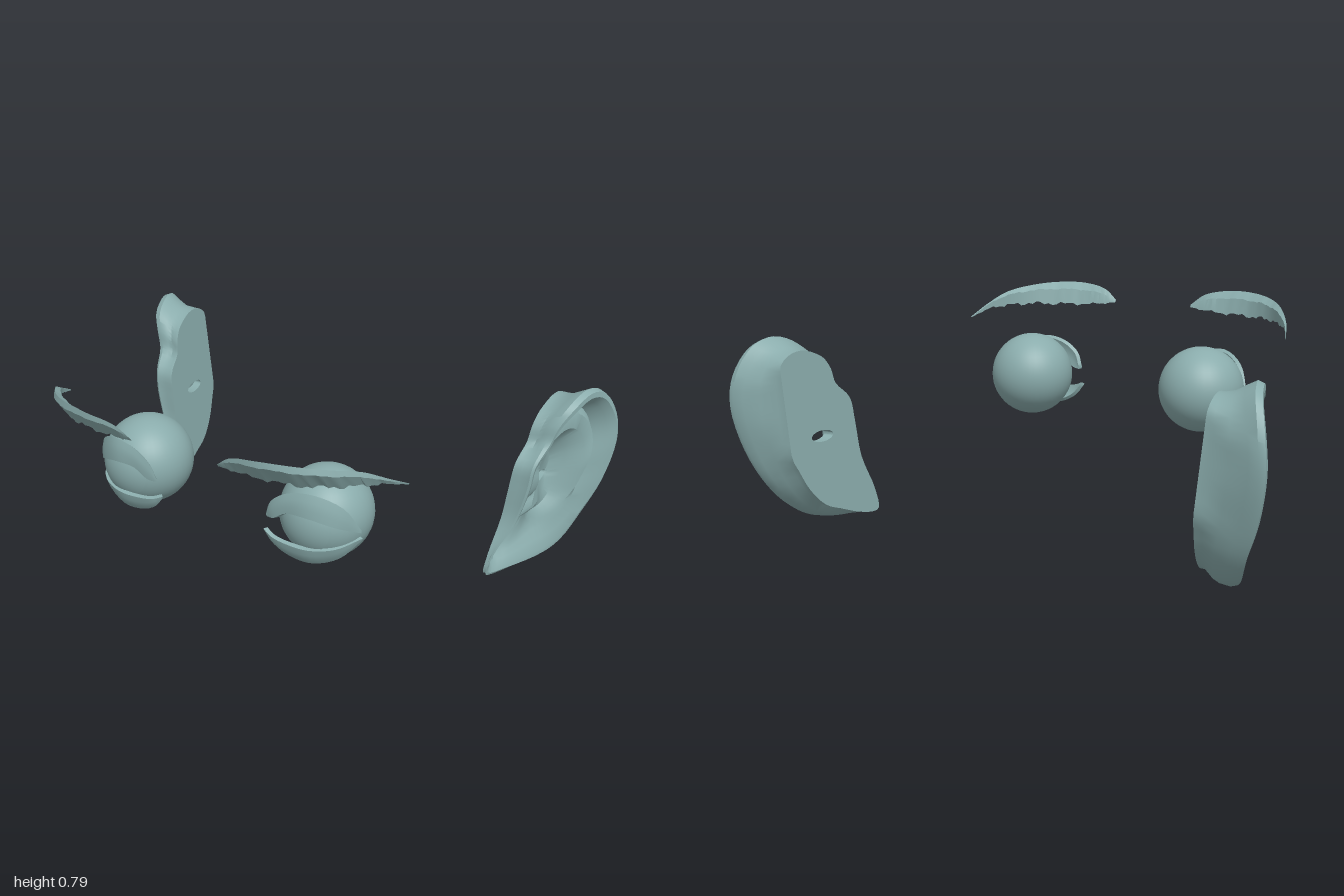
import * as THREE from 'three';
import { toCreasedNormals } from 'three/addons/utils/BufferGeometryUtils.js';

const V = (x, y, z) => new THREE.Vector3(x, y, z);
const curve = (pts, closed = false) => new THREE.CatmullRomCurve3(pts.map((p) => V(...p)), closed);
const smooth = THREE.MathUtils.smoothstep;
const mix = THREE.MathUtils.lerp;

// Skin closed loops of points; joinEnds links the last loop back to the first.
// side = -1 gives the mirrored copy. Faces are always turned outward.
function loft(rings, side, { joinEnds = false, crease = 0.7 } = {}) {
  const n = rings[0].length, m = rings.length;
  const pts = rings.flat().map((p) => V(p.x * side, p.y, p.z));
  let index = [];
  for (let i = 0; i < (joinEnds ? m : m - 1); i++) {
    for (let j = 0; j < n; j++) {
      const a = i * n + j, b = i * n + (j + 1) % n;
      const c = ((i + 1) % m) * n + j, d = ((i + 1) % m) * n + (j + 1) % n;
      index.push(a, b, d, a, d, c);
    }
  }
  let volume = 0;
  for (let i = 0; i < index.length; i += 3) {
    volume += pts[index[i]].dot(V(0, 0, 0).crossVectors(pts[index[i + 1]], pts[index[i + 2]]));
  }
  if (volume < 0) index = index.reverse();
  const geometry = new THREE.BufferGeometry().setFromPoints(pts);
  geometry.setIndex(index);
  return toCreasedNormals(geometry, crease);
}

// Close both ends of a row of loops by shrinking them to a point.
function capped(rings) {
  const shrink = (ring) => {
    const c = ring.reduce((s, p) => s.add(p), V(0, 0, 0)).divideScalar(ring.length);
    return ring.map(() => c.clone());
  };
  return [shrink(rings[0]), ...rings, shrink(rings[rings.length - 1])];
}

const EYE = V(0.36, 0.46, 0.325);

// Eyelid: curved shell between two edges, given relative to the eye centre
function lidRings(upper, lower) {
  const u = curve(upper), l = curve(lower), rings = [];
  for (let i = 0; i <= 20; i++) {
    const a = u.getPoint(i / 20), b = l.getPoint(i / 20);
    const row = [0, 0.33, 0.67, 1].map((t) => {
      const p = a.clone().lerp(b, t);
      return p.addScaledVector(p.clone().normalize(), 0.006 * Math.sin(Math.PI * t) * Math.sin(Math.PI * i / 20));
    });
    const inner = row.map((p) => p.clone().addScaledVector(p.clone().normalize(), -0.014)).reverse();
    rings.push([...row, ...inner].map((p) => p.add(EYE)));
  }
  return capped(rings);
}

const upperLid = lidRings(
  [[0.157, -0.003, 0.055], [0.115, 0.085, 0.1], [0.03, 0.13, 0.146], [-0.06, 0.115, 0.155], [-0.12, 0.07, 0.155], [-0.142, 0.015, 0.148]],
  [[0.157, -0.014, 0.055], [0.102, 0.022, 0.125], [0.02, 0.05, 0.163], [-0.06, 0.046, 0.163], [-0.11, 0.012, 0.157], [-0.14, 0.006, 0.148]]);
const lowerLid = lidRings(
  [[0.158, -0.038, 0.045], [0.1, -0.06, 0.12], [0.02, -0.072, 0.153], [-0.06, -0.072, 0.156], [-0.12, -0.064, 0.152], [-0.158, -0.05, 0.14]],
  [[0.155, -0.046, 0.045], [0.1, -0.108, 0.09], [0.02, -0.134, 0.125], [-0.06, -0.13, 0.13], [-0.12, -0.1, 0.135], [-0.155, -0.058, 0.138]]);

// Brow: thin leaning band, its top edge forward and its lower edge ragged
function browRings() {
  const top = curve([[0.165, 0.725, 0.665], [0.22, 0.765, 0.676], [0.32, 0.785, 0.684], [0.43, 0.785, 0.656],
    [0.52, 0.773, 0.6], [0.59, 0.75, 0.52], [0.635, 0.71, 0.45], [0.667, 0.66, 0.36]]);
  const low = curve([[0.165, 0.715, 0.658], [0.22, 0.708, 0.65], [0.32, 0.702, 0.637], [0.43, 0.7, 0.612],
    [0.52, 0.7, 0.565], [0.588, 0.695, 0.5], [0.632, 0.685, 0.44], [0.666, 0.656, 0.36]]);
  const rings = [];
  for (let i = 0; i <= 44; i++) {
    const t = i / 44, w = Math.sin(Math.PI * t), a = top.getPoint(t), b = low.getPoint(t);
    b.y += (0.005 * Math.sin(i * 2.3) + 0.005 * Math.sin(i * 0.9)) * w;
    const front = a.clone().lerp(b, 0.25).add(V(0, 0, 0.016 * w));
    const back = a.clone().lerp(b, 0.4).add(V(-0.004 * w, 0.008 * w, -0.014 * w));
    rings.push([a, front, b, back]);
  }
  return capped(rings);
}

// Ear: outline of the rim as x (flare), y, z
const rim = curve([
  [0.705, 0.005, -0.256], [0.72, 0.082, -0.263], [0.775, 0.216, -0.312], [0.81, 0.354, -0.323], [0.82, 0.44, -0.334],
  [0.845, 0.515, -0.397], [0.865, 0.578, -0.412], [0.9, 0.642, -0.453], [0.93, 0.679, -0.547], [0.955, 0.653, -0.629],
  [0.985, 0.56, -0.685], [0.995, 0.448, -0.696], [0.965, 0.28, -0.666], [0.915, 0.149, -0.618], [0.875, 0.06, -0.547],
  [0.835, 0.02, -0.48], [0.75, 0.003, -0.33],
], true);
const plate = (y, z) => 0.686 + 0.113 * y - 0.1 * (z + 0.26); // flat face on the head side
const HOLE = { y: 0.325, z: -0.494 };

// One ray of the ear, running from the hole across the plate, over the rim and down the bowl
function earRay(p) {
  const dy = p.y - HOLE.y, dz = p.z - HOLE.z, len = Math.hypot(dy, dz);
  const hy = HOLE.y + 0.02 * dy / len, hz = HOLE.z + 0.052 * dz / len;
  const at = (s, x) => V(x, HOLE.y + dy * s, HOLE.z + dz * s);
  const flare = smooth(-p.z, 0.3, 0.48);
  const fold = smooth(p.y, 0.08, 0.36) * flare;
  const tragus = (1 - smooth(Math.abs(p.y - 0.36), 0.03, 0.15)) * (1 - flare);
  // plate edge stops short of the rim at the top, back and behind the lobe
  const cut = mix(0.985, mix(0.86, 0.88, smooth(dy, -0.1, 0.1)), flare);
  const ey = HOLE.y + dy * cut;
  const ez = Math.max(HOLE.z + dz * mix(0.985, cut, smooth(-dy, 0, 0.15)), -0.65);
  const px = plate(ey, ez), floor = plate(HOLE.y, HOLE.z) + 0.035;
  const drop = 0.35 + 0.65 * flare;
  const x = (d) => Math.max(p.x - d * drop, px + 0.012);
  const saddle = at(mix(mix(0.985, 0.95, flare), 0.9, fold), mix(px, x(0.05), 0.55));
  saddle.z = Math.max(saddle.z, ez - 0.02);
  // groove lies close under the rim at the top and further in at the back
  const groove = mix(0.65, 0.79, Math.max(smooth(dy, 0.05, 0.28), 1 - flare));
  return [
    V(plate(hy, hz), hy, hz),
    V(px, ey, ez),
    V(mix(px, x(0.05), 0.2), ey, ez),
    saddle,
    at(mix(0.985, 0.95, fold), x(0.06)),
    at(1, x(0.025)),
    at(0.975, x(0.004)),
    at(0.92, x(0.003)),
    at(mix(groove, 0.92, 0.5), x(0.02 + 0.012 * fold)),
    at(groove, x(0.035 + 0.05 * fold)),
    at(groove - 0.08, x(0.045 + 0.025 * fold) + 0.012 * tragus),
    at(mix(groove, 0.4, 0.6), mix(x(0.055), floor + 0.02, 0.25) + 0.02 * tragus),
    at(0.42, mix(x(0.07), floor, 0.6) + 0.015 * tragus),
    at(0.3, floor + 0.008),
    V(floor, hy, hz),
  ];
}
const RAYS = 68;
const rays = Array.from({ length: RAYS }, (_, i) => earRay(rim.getPoint(i / RAYS)));

export function createModel() {
  const model = new THREE.Group();
  model.name = 'faceParts';
  const clay = new THREE.MeshStandardMaterial({ color: 0x8aacac });
  clay.name = 'greyTeal';

  for (const side of [1, -1]) {
    const label = side > 0 ? 'left' : 'right';
    const add = (name, geometry, position) => {
      const mesh = new THREE.Mesh(geometry, clay);
      mesh.name = label + name;
      if (position) mesh.position.copy(position);
      model.add(mesh);
    };
    const eye = V(EYE.x * side, EYE.y, EYE.z);
    add('Eyeball', new THREE.SphereGeometry(0.157, 40, 28), eye);
    // slightly raised round iris on the front of the eyeball
    add('Iris', new THREE.SphereGeometry(0.159, 32, 8, 0, Math.PI * 2, 0, 0.57).rotateX(Math.PI / 2), eye);
    add('UpperEyelid', loft(upperLid, side));
    add('LowerEyelid', loft(lowerLid, side));
    add('Eyebrow', loft(browRings(), side, { crease: 0.5 }));
    add('Ear', loft(rays, side, { joinEnds: true, crease: 0.6 }));
  }
  return model;
}
